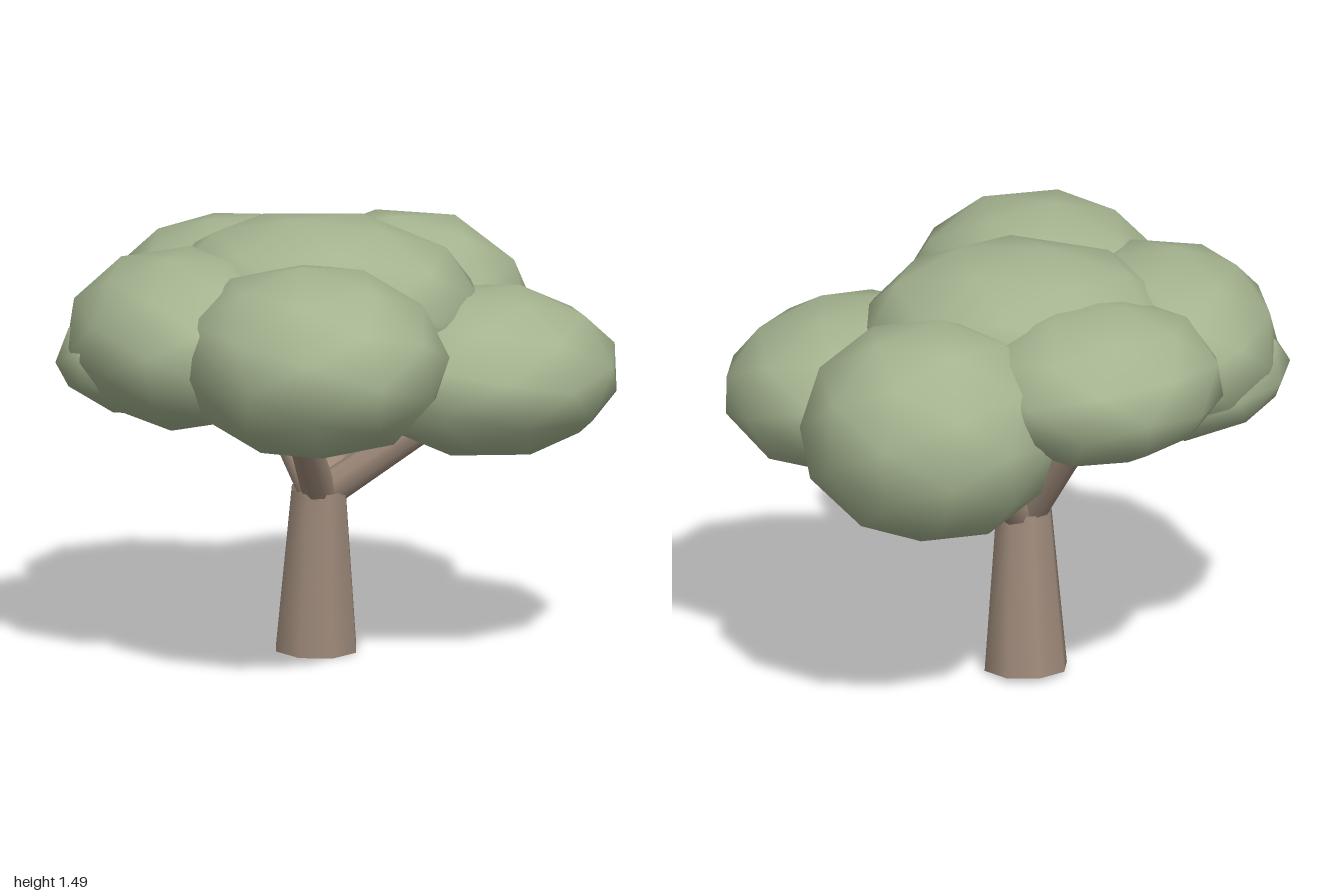
import * as THREE from 'three';

const leafMat = new THREE.MeshStandardMaterial({ color: 0xa5b490 });
leafMat.name = 'leaf green';
const barkMat = new THREE.MeshStandardMaterial({ color: 0x9e8a7a, side: THREE.DoubleSide });
barkMat.name = 'bark brown';

// Tapered open tube between two points
function limb(name, from, to, r0, r1) {
  const a = new THREE.Vector3(...from), b = new THREE.Vector3(...to);
  const dir = b.clone().sub(a);
  const mesh = new THREE.Mesh(new THREE.CylinderGeometry(r1, r0, dir.length(), 8, 1, true), barkMat);
  mesh.position.copy(a).add(b).multiplyScalar(0.5);
  mesh.quaternion.setFromUnitVectors(new THREE.Vector3(0, 1, 0), dir.normalize());
  mesh.name = name;
  return mesh;
}

// Coarse, smooth-shaded ellipsoid of foliage; facets turns the mesh pattern, tilt the ellipsoid
function leafClump(name, center, radii, facets, tilt) {
  const geo = new THREE.IcosahedronGeometry(1, 1);
  geo.rotateX(facets[0]).rotateY(facets[1]).rotateZ(facets[2]);
  geo.scale(...radii);
  const mesh = new THREE.Mesh(geo, leafMat);
  mesh.position.set(...center);
  mesh.rotation.set(...tilt);
  mesh.name = name;
  return mesh;
}

export function createModel() {
  const tree = new THREE.Group();
  tree.name = 'tree';

  // Trunk, leaning slightly
  tree.add(limb('trunk', [-0.11, 0.01, -0.02], [-0.09, 0.565, 0.005], 0.145, 0.097));

  // Branches fanning out from the trunk top
  const branches = [
    ['branchLeft', [-0.06, 0.56, -0.01], [0.38, 0.88, -0.12]],
    ['branchRight', [-0.11, 0.56, 0], [-0.4, 0.98, -0.12]],
    ['branchFront', [-0.08, 0.55, 0.02], [-0.01, 0.93, 0.4]],
    ['branchBack', [-0.09, 0.55, -0.02], [-0.06, 0.9, -0.4]],
  ];
  for (const [name, from, to] of branches) tree.add(limb(name, from, to, 0.06, 0.048));

  // Canopy clumps: name, centre, radii, facet turn, tilt
  const clumps = [
    ['clumpTop', [-0.09, 1.2, -0.01], [0.56, 0.295, 0.51], [0.15, 0.2, 0.15], [0, 0, -0.03]],
    ['clumpFront', [0.11, 1.12, 0.525], [0.45, 0.325, 0.53], [0, 0.1, 0.1], [0, 0.78, 0]],
    ['clumpBack', [-0.03, 1.035, -0.57], [0.45, 0.375, 0.44], [0.2, 0.1, 0], [0, 0, 0]],
    ['clumpLeft', [0.445, 0.982, -0.16], [0.455, 0.285, 0.5], [0.25, 0.1, 0.2], [0, 0, -0.05]],
    ['clumpFrontRight', [-0.44, 1.118, 0.355], [0.39, 0.297, 0.545], [0.15, 0, 0.15], [0, 0.57, 0]],
    ['clumpFrontRightLow', [-0.53, 1.04, 0.28], [0.36, 0.2, 0.42], [0, 0.2, 0], [0, -0.1, 0]],
    ['clumpBackRight', [-0.47, 1.165, -0.21], [0.43, 0.26, 0.46], [0.15, -0.1, 0.15], [0, 0, 0]],
  ];
  for (const c of clumps) tree.add(leafClump(...c));

  return tree;
}
